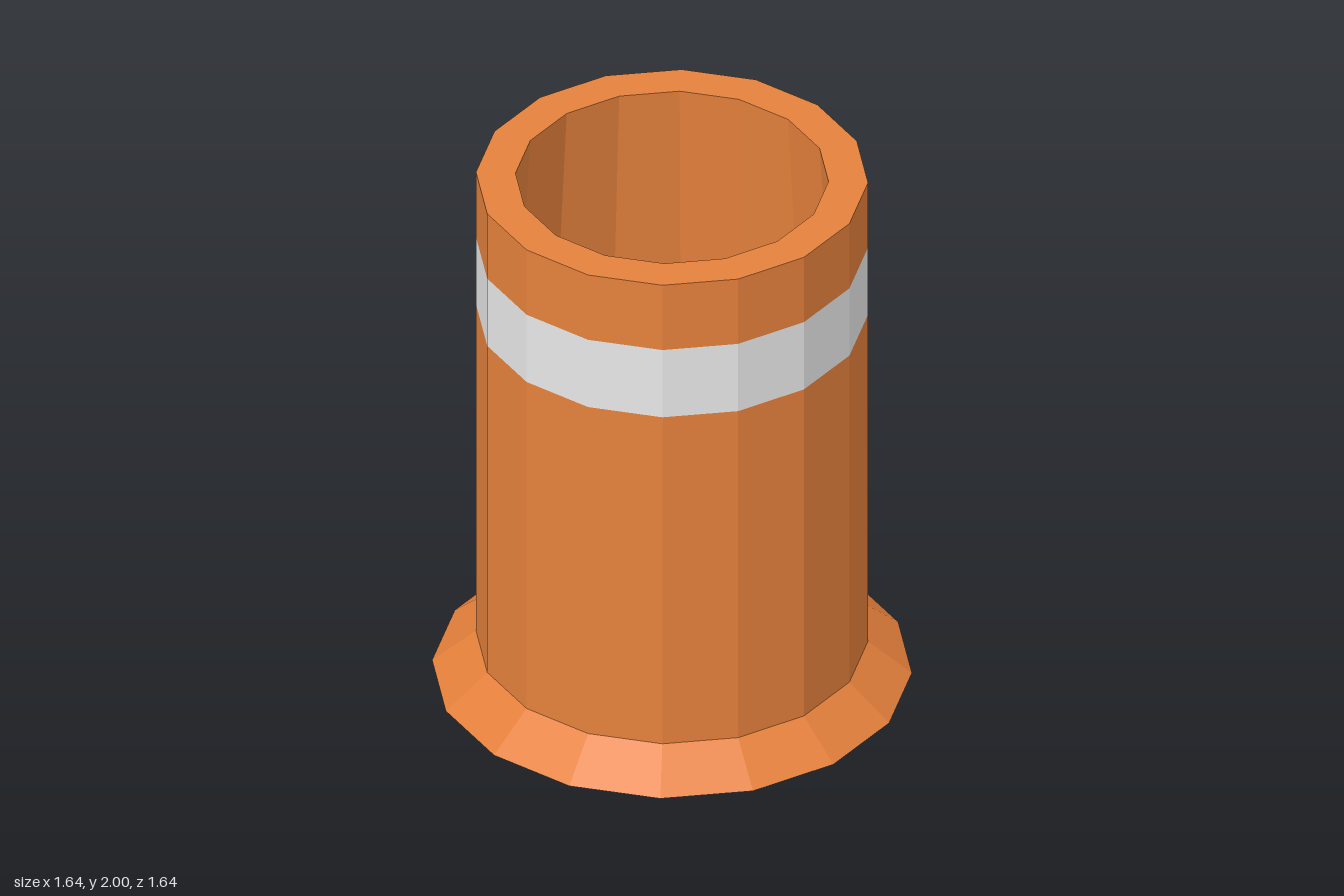
import * as THREE from 'three';

const SIDES = 16;
const WALL = 0.67;        // outer wall radius
const BAND = [1.46, 1.735]; // bottom and top of the reflective band

// Faceted ring turned from a profile of [radius, height] points
function turned(name, profile, material) {
  const points = profile.map(([r, y]) => new THREE.Vector2(r, y));
  const geometry = new THREE.LatheGeometry(points, SIDES).toNonIndexed();
  geometry.computeVertexNormals();
  const mesh = new THREE.Mesh(geometry, material);
  mesh.name = name;
  return mesh;
}

export function createModel() {
  const orange = new THREE.MeshStandardMaterial({ color: 0xe5813c });
  orange.name = 'orange plastic';
  const white = new THREE.MeshStandardMaterial({ color: 0xe8e8e8 });
  white.name = 'white band';

  const group = new THREE.Group();
  group.name = 'trafficBarrel';

  group.add(
    // Sloping foot with its open underside
    turned('foot', [[0.655, 0], [0.82, 0], [WALL, 0.125]], orange),
    // Outer wall below the band
    turned('lowerWall', [[WALL, 0.125], [WALL, BAND[0]]], orange),
    // Reflective band, flush with the wall
    turned('band', [[WALL, BAND[0]], [WALL, BAND[1]]], white),
    // Outer wall above the band and the flat rim
    turned('upperWall', [[WALL, BAND[1]], [WALL, 2], [0.535, 2]], orange),
    // Tapered hollow, open at both ends
    turned('innerWall', [[0.535, 2], [0.655, 0]], orange),
  );
  return group;
}
